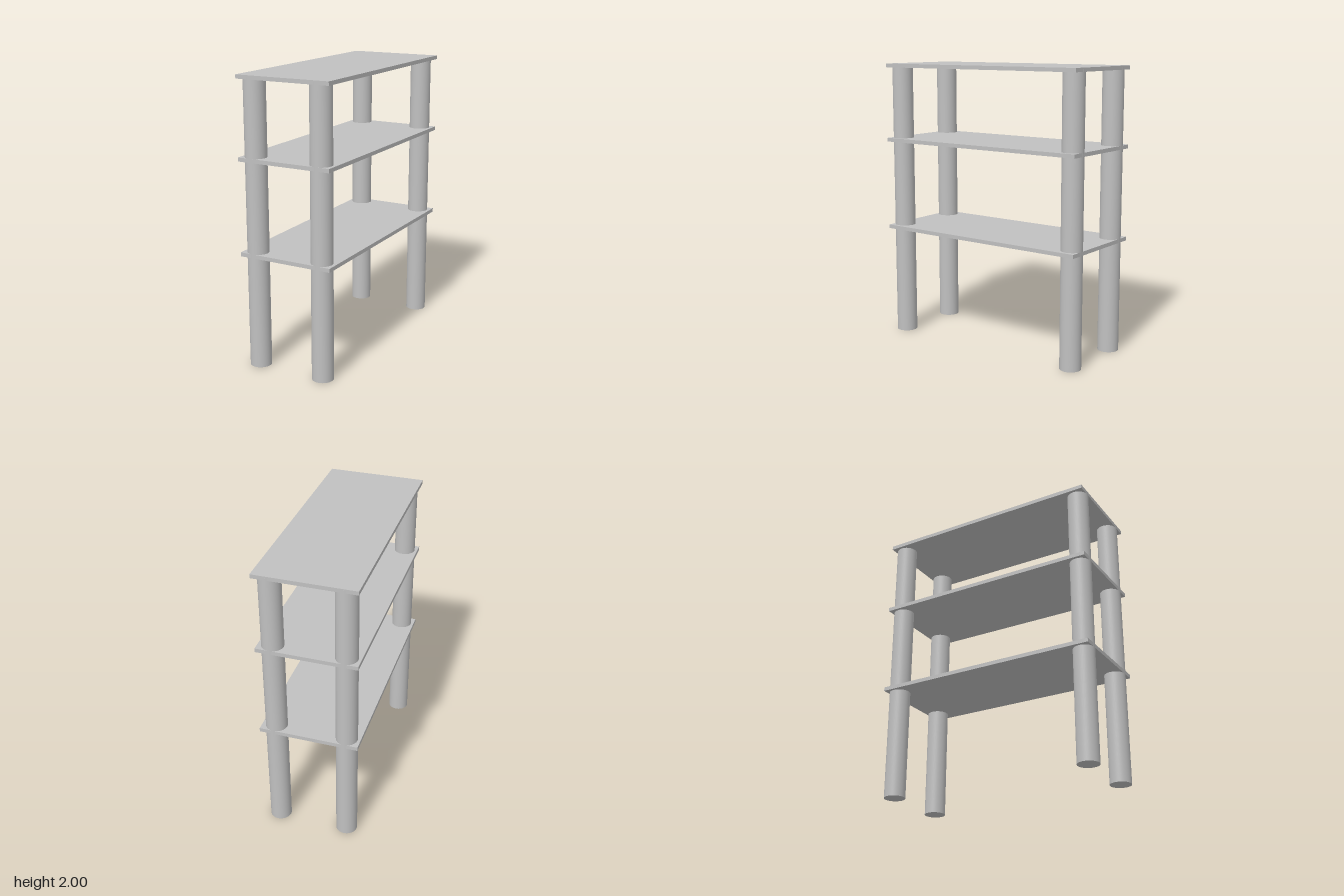
import * as THREE from 'three';

export function createModel() {
  const group = new THREE.Group();
  const grey = new THREE.MeshStandardMaterial({ color: 0xc0c0c0 });
  grey.name = 'light grey';

  // Three thin shelves, placed by their top surface
  const thickness = 0.027;
  const shelfGeometry = new THREE.BoxGeometry(0.684, thickness, 1.622);
  [['lowerShelf', 0.812], ['middleShelf', 1.461], ['topShelf', 2]].forEach(([name, top]) => {
    const shelf = new THREE.Mesh(shelfGeometry, grey);
    shelf.name = name;
    shelf.position.y = top - thickness / 2;
    group.add(shelf);
  });

  // Four round posts running through the shelves, flush with the end edges
  const radius = 0.074;
  const height = 1.99;
  const postGeometry = new THREE.CylinderGeometry(radius, radius, height, 48);
  for (const [side, x] of [['Right', -0.248], ['Left', 0.245]]) {
    for (const [end, z] of [['front', 0.738], ['back', -0.738]]) {
      const post = new THREE.Mesh(postGeometry, grey);
      post.name = `${end}${side}Post`;
      post.position.set(x, height / 2, z);
      group.add(post);
    }
  }
  return group;
}
